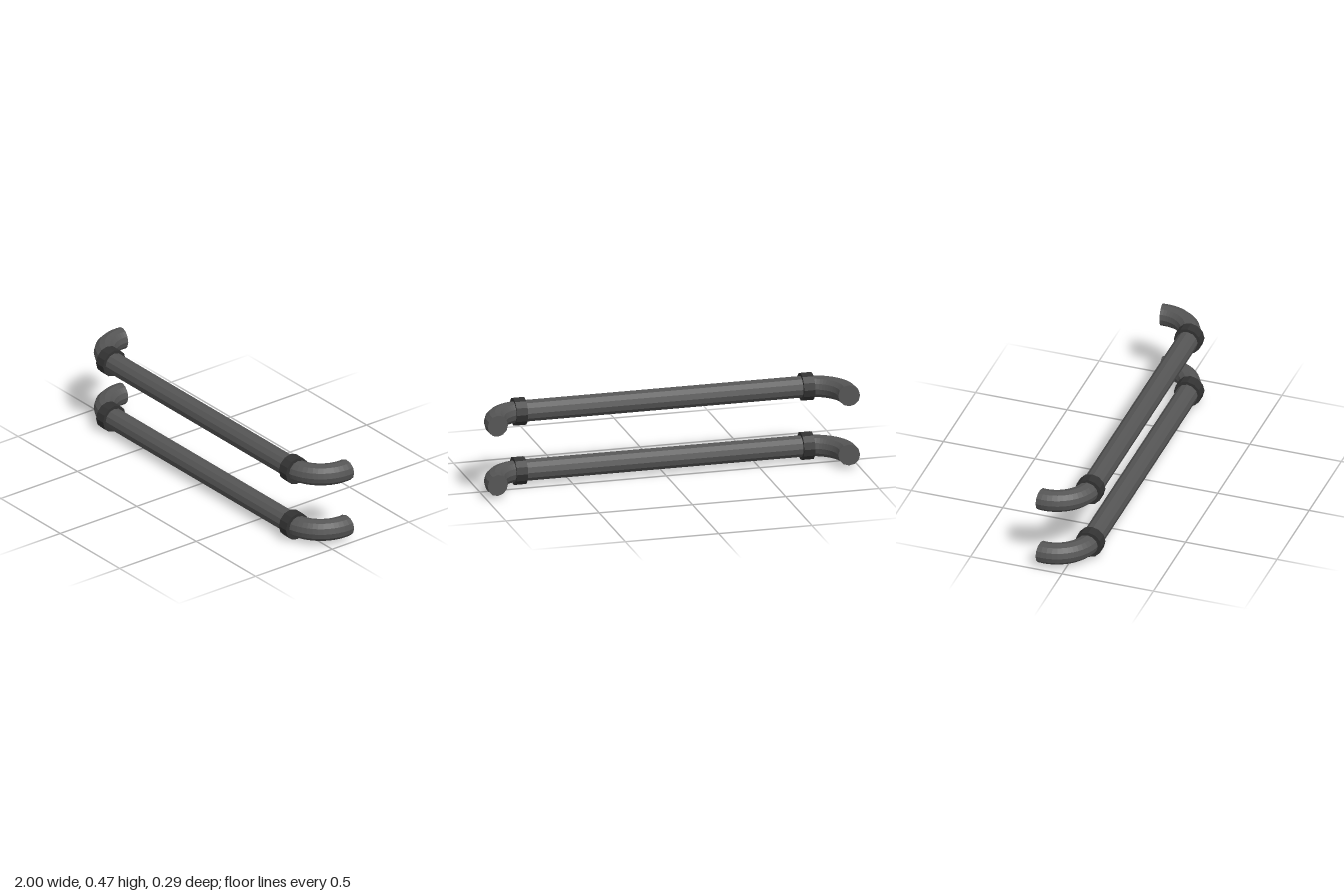
import * as THREE from 'three';

const SIDES = 12;
const PIPE_R = 0.057;
const COLLAR_R = 0.0735;
const BEND_R = 0.185;
const BEND_X = 0.758; // where the straight bar meets the elbow
const COLLAR_X = 0.77;
const AXIS_Z = 0.073;
const OVERBEND = THREE.MathUtils.degToRad(8); // elbow turns a little past a right angle

const pipeMaterial = new THREE.MeshStandardMaterial({ color: 0x555555, flatShading: true });
const collarMaterial = new THREE.MeshStandardMaterial({ color: 0x333333, flatShading: true });

function part(name, geometry, material) {
  const mesh = new THREE.Mesh(geometry, material);
  mesh.name = name;
  return mesh;
}

// Cylinder lying along x
function rod(name, radius, length, material) {
  const geometry = new THREE.CylinderGeometry(radius, radius, length, SIDES);
  geometry.rotateZ(Math.PI / 2);
  return part(name, geometry, material);
}

// Elbow with its closed end, plus the collar over the joint, for the +x end
function railEnd(name) {
  const end = new THREE.Group();
  end.name = name;

  const bend = new THREE.TorusGeometry(BEND_R, PIPE_R, SIDES, 14, Math.PI / 2 + OVERBEND);
  const cap = new THREE.CircleGeometry(PIPE_R, SIDES);
  cap.rotateX(Math.PI / 2);
  cap.translate(BEND_R, 0, 0);
  for (const geometry of [bend, cap]) {
    geometry.rotateZ(-OVERBEND);
    geometry.rotateX(Math.PI / 2);
    geometry.translate(BEND_X, 0, -BEND_R);
  }
  end.add(part('elbow', bend, pipeMaterial), part('elbowEndCap', cap, pipeMaterial));

  const collar = rod('collar', COLLAR_R, 0.06, collarMaterial);
  collar.position.x = COLLAR_X;
  end.add(collar);
  return end;
}

function rail(name, y) {
  const group = new THREE.Group();
  group.name = name;
  group.add(rod('straightBar', PIPE_R, BEND_X * 2, pipeMaterial));
  const left = railEnd('leftEnd');
  const right = railEnd('rightEnd');
  right.rotation.z = Math.PI; // a half turn mirrors the symmetric end
  group.add(left, right);
  group.position.set(0, y, AXIS_Z);
  return group;
}

export function createModel() {
  const model = new THREE.Group();
  model.name = 'doubleRail';
  model.add(rail('lowerRail', COLLAR_R), rail('upperRail', 0.395));
  return model;
}
